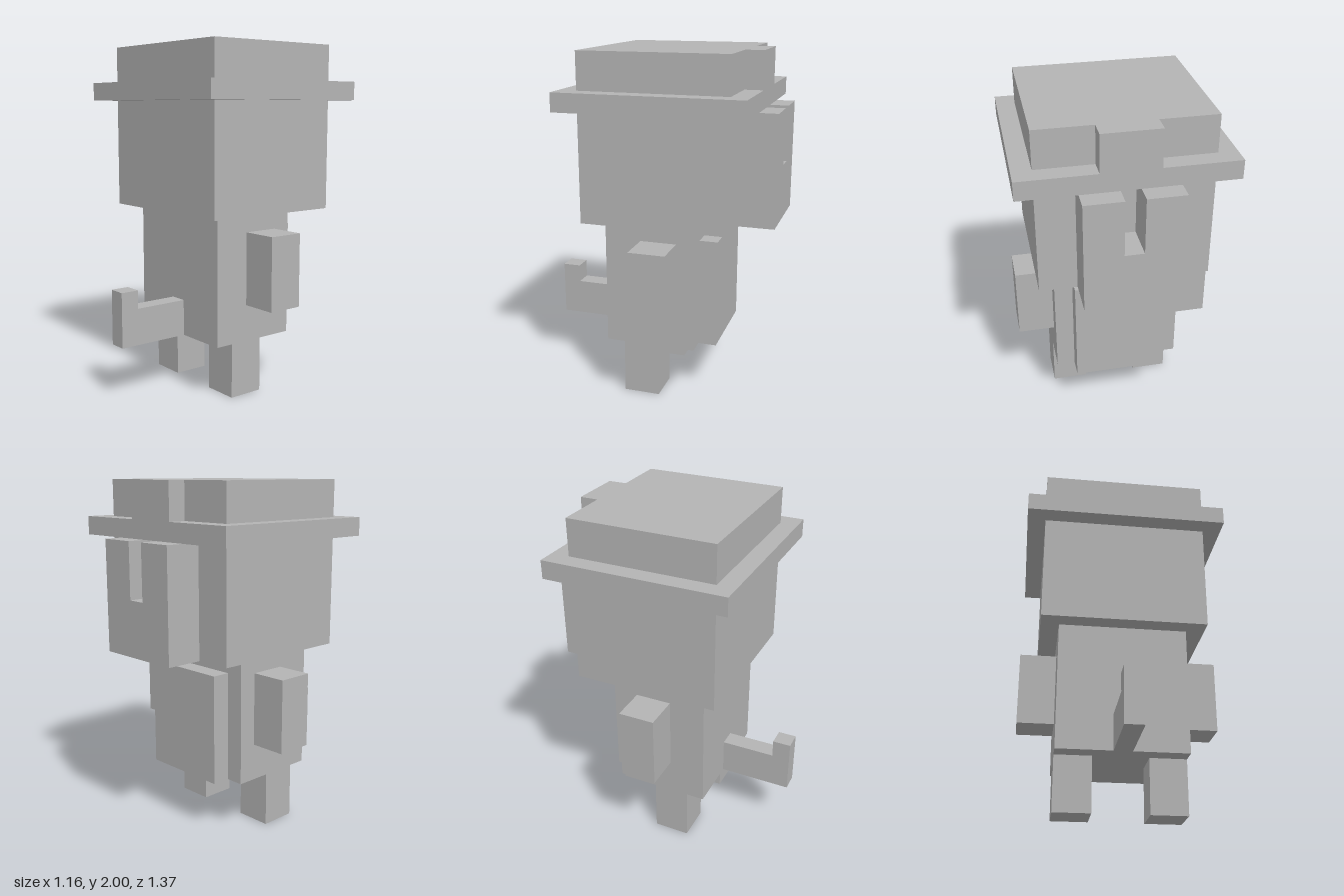
import * as THREE from 'three';

// Grid unit: the figure is 19 units tall
const U = 2 / 19;

export function createModel() {
  const model = new THREE.Group();
  model.name = 'blockFigure';
  const grey = new THREE.MeshStandardMaterial({ color: 0xb4b4b4 });
  grey.name = 'grey';

  const add = (name, geometry) => {
    const mesh = new THREE.Mesh(geometry, grey);
    mesh.name = name;
    model.add(mesh);
    return mesh;
  };

  // Box between two corners, in grid units
  const box = (name, [x0, y0, z0], [x1, y1, z1]) => {
    const g = new THREE.BoxGeometry((x1 - x0) * U, (y1 - y0) * U, (z1 - z0) * U);
    g.translate((x0 + x1) / 2 * U, (y0 + y1) / 2 * U, (z0 + z1) / 2 * U);
    return add(name, g);
  };

  // Straight extrusion of an outline, in grid units
  const slab = (points, depth) => new THREE.ExtrudeGeometry(
    new THREE.Shape(points.map(([a, b]) => new THREE.Vector2(a * U, b * U))),
    { depth: depth * U, bevelEnabled: false });

  // Body with the raised belly panel
  box('body', [-3.5, 3, -2.5], [3.5, 10, 2.5]);
  box('bellyPanel', [-2.5, 3, -3.5], [2.5, 9, -2.5]);

  // Mirrored limbs
  for (const [side, s] of [['left', 1], ['right', -1]]) {
    const span = (a, b) => (s > 0 ? [a, b] : [-b, -a]);
    const [l0, l1] = span(1.5, 3.5);
    box(side + 'Leg', [l0, 0, -0.5], [l1, 3, 1.5]);
    const [a0, a1] = span(3.5, 5.5);
    box(side + 'Arm', [a0, 5, -1.5], [a1, 9, 0.5]);
  }

  // Tail with an upturned tip: profile in (z, y), extruded along x
  const tail = slab([[2.5, 3], [6.5, 3], [6.5, 6], [5.5, 6], [5.5, 5], [2.5, 5]], 1);
  tail.rotateY(-Math.PI / 2);
  tail.translate(0.5 * U, 0, 0);
  add('tail', tail);

  // Head and the notched muzzle
  box('head', [-4.5, 10, -4.5], [4.5, 16, 3.5]);
  const muzzle = slab([[-2.5, 10], [2.5, 10], [2.5, 16], [0.5, 16],
    [0.5, 13], [-0.5, 13], [-0.5, 16], [-2.5, 16]], 2);
  muzzle.translate(0, 0, -6.5 * U);
  add('muzzle', muzzle);

  // Hat: wide brim and a crown with a badge block; outline in (x, -z)
  box('hatBrim', [-5.5, 16, -5.5], [5.5, 17, 4.5]);
  const crown = slab([[-4.5, -3.5], [4.5, -3.5], [4.5, 4.5], [1.5, 4.5],
    [1.5, 5.5], [-1.5, 5.5], [-1.5, 4.5], [-4.5, 4.5]], 2);
  crown.rotateX(-Math.PI / 2);
  crown.translate(0, 17 * U, 0);
  add('hatCrown', crown);

  return model;
}
